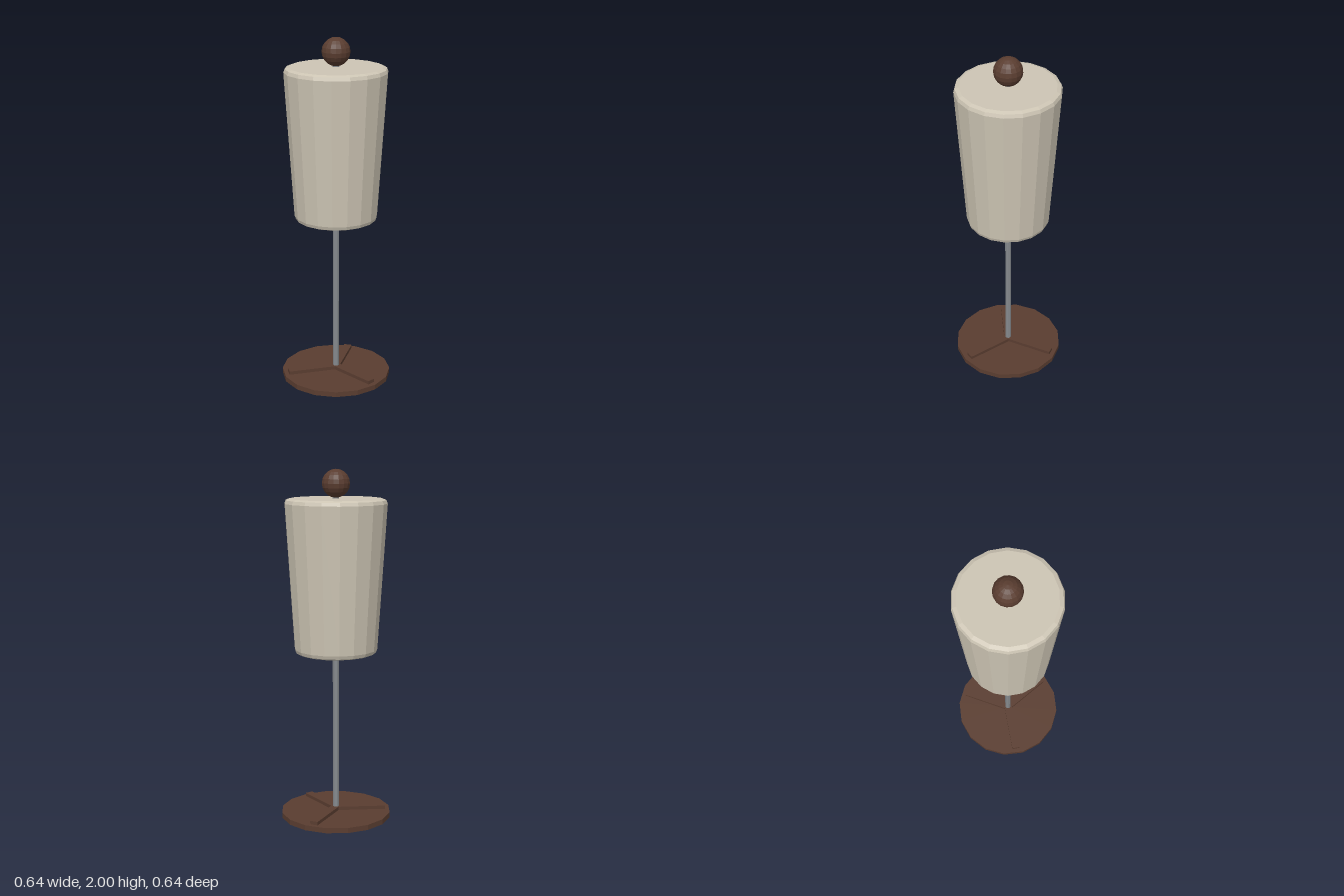
import * as THREE from 'three';

const material = (color) => new THREE.MeshStandardMaterial({ color, flatShading: true });

export function createModel() {
  const model = new THREE.Group();
  model.name = 'floorLamp';
  const wood = material(0x5a3d30);
  const metal = material(0x85898d);
  const fabric = material(0xcdc5b4);

  const add = (name, geometry, mat, y = 0) => {
    const mesh = new THREE.Mesh(geometry, mat);
    mesh.name = name;
    mesh.position.y = y;
    model.add(mesh);
    return mesh;
  };

  // Faceted disc base
  add('base', new THREE.CylinderGeometry(0.318, 0.318, 0.03, 16), wood, 0.015);

  // Three raised ribs radiating from the pole
  for (let i = 0; i < 3; i++) {
    const rib = new THREE.BoxGeometry(0.288, 0.025, 0.046).translate(0.144, 0, 0);
    add('baseRib' + (i + 1), rib, wood, 0.0375).rotation.y = (i * Math.PI * 2) / 3;
  }

  // Slim pole running up through the shade to the finial
  add('pole', new THREE.CylinderGeometry(0.018, 0.018, 1.81, 10), metal, 0.955);

  // Closed tapered shade with bevelled rims
  const profile = [
    [0, 0.965], [0.21, 0.965], [0.229, 0.973], [0.236, 0.992],
    [0.288, 1.811], [0.281, 1.83], [0.26, 1.838], [0, 1.838],
  ].map(([r, y]) => new THREE.Vector2(r, y));
  add('shade', new THREE.LatheGeometry(profile, 18), fabric);

  // Ball finial
  add('finial', new THREE.SphereGeometry(0.079, 16, 10), wood, 1.921);

  return model;
}
